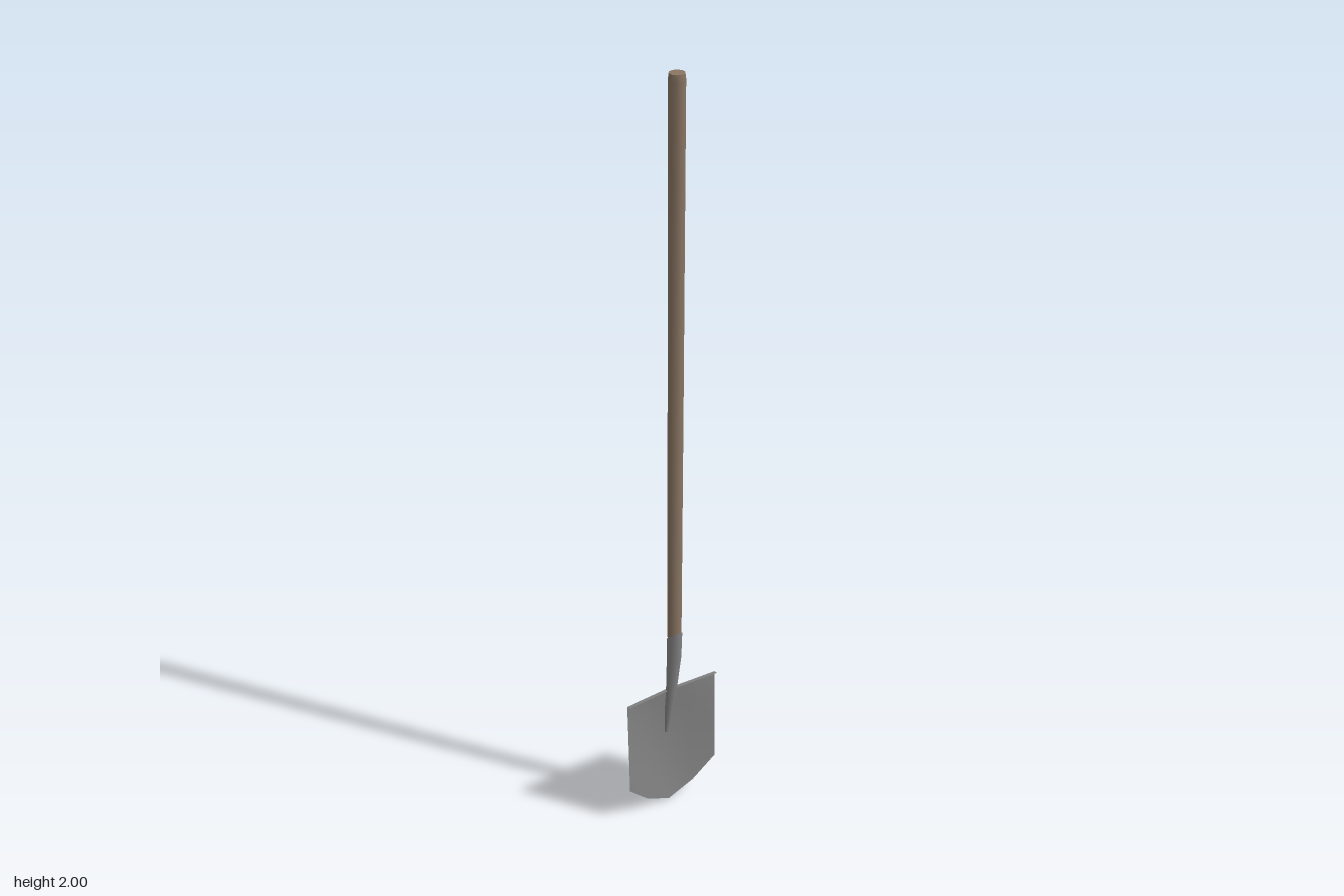
import * as THREE from 'three';

// Skin through stacked elliptical rings, listed bottom to top: [y, zCentre, radiusX, radiusZ, forwardSlant]
function loft(rings, sides, capTop) {
  const pos = [], idx = [];
  const addRing = ([y, z, rx, rz, slant = 0]) => {
    for (let i = 0; i < sides; i++) {
      const a = (i / sides) * Math.PI * 2;
      pos.push(Math.sin(a) * rx, y + Math.cos(a) * slant, z + Math.cos(a) * rz);
    }
  };
  rings.forEach(addRing);
  for (let r = 0; r < rings.length - 1; r++) {
    for (let i = 0; i < sides; i++) {
      const a = r * sides + i, b = r * sides + ((i + 1) % sides);
      idx.push(a, b, b + sides, a, b + sides, a + sides);
    }
  }
  // Separate cap vertices keep the rim sharp
  const cap = (ring, up) => {
    const start = pos.length / 3;
    addRing(ring);
    for (let i = 1; i < sides - 1; i++) {
      if (up) idx.push(start, start + i, start + i + 1);
      else idx.push(start, start + i + 1, start + i);
    }
  };
  cap(rings[0], false);
  if (capTop) cap(rings[rings.length - 1], true);
  return toGeometry(pos, idx);
}

function toGeometry(pos, idx) {
  const g = new THREE.BufferGeometry();
  g.setAttribute('position', new THREE.Float32BufferAttribute(pos, 3));
  g.setIndex(idx);
  g.computeVertexNormals();
  return g;
}

// Dished blade: mirrored columns, each with its own lower end and depth curve
function bladeGeometry() {
  const columns = [ // x, bottom y, z at top / middle / bottom
    [0, 0, -0.017, -0.034, -0.021],
    [0.07, 0.038, -0.013, -0.02, -0.013],
    [0.133, 0.1, -0.01, -0.006, -0.003],
  ];
  const all = [2, 1, 0, 1, 2].map((k, i) => [i < 2 ? -columns[k][0] : columns[k][0], ...columns[k].slice(1)]);
  const rows = 6, pos = [], idx = [];
  for (const [x, bottom, zTop, zMid, zBottom] of all) {
    for (let j = 0; j <= rows; j++) {
      const t = j / rows;
      const z = zTop * (1 - t) * (1 - 2 * t) + zMid * 4 * t * (1 - t) + zBottom * t * (2 * t - 1);
      pos.push(x, 0.372 + (bottom - 0.372) * t, z);
    }
  }
  for (let c = 0; c < all.length - 1; c++) {
    for (let j = 0; j < rows; j++) {
      const a = c * (rows + 1) + j, b = a + rows + 1;
      idx.push(a, a + 1, b + 1, a, b + 1, b);
    }
  }
  return toGeometry(pos, idx);
}

// Narrow foot tread folded forward along the blade's top edge
function treadGeometry() {
  const pos = [], idx = [];
  [[-0.133, -0.01], [-0.07, -0.013], [0, -0.017], [0.07, -0.013], [0.133, -0.01]].forEach(([x, z], i) => {
    pos.push(x, 0.372, z, x, 0.375, z + 0.013);
    const a = i * 2;
    if (i < 4) idx.push(a, a + 1, a + 3, a, a + 3, a + 2);
  });
  return toGeometry(pos, idx);
}

export function createModel() {
  const wood = new THREE.MeshStandardMaterial({ color: 0x8a7663 });
  wood.name = 'wood';
  const steel = new THREE.MeshStandardMaterial({ color: 0x858585, side: THREE.DoubleSide });
  steel.name = 'steel';

  const model = new THREE.Group();
  model.name = 'shovel';
  const add = (name, geometry, material) => {
    const mesh = new THREE.Mesh(geometry, material);
    mesh.name = name;
    model.add(mesh);
  };

  // Slightly tilted wooden shaft
  add('handle', loft([
    [0.46, 0.004, 0.015, 0.014],
    [0.56, 0.006, 0.018, 0.018],
    [1.2, 0.01, 0.019, 0.019],
    [1.985, 0.014, 0.02, 0.02],
    [2.0, 0.014, 0.018, 0.018],
  ], 10, true), wood);

  // Tapered socket with a slanted mouth, running down into the blade
  add('socket', loft([
    [0.22, -0.031, 0.005, 0.004],
    [0.3, -0.02, 0.011, 0.009],
    [0.37, -0.008, 0.015, 0.011],
    [0.48, 0.004, 0.019, 0.018],
    [0.55, 0.006, 0.02, 0.02, 0.018],
  ], 10, false), steel);

  add('blade', bladeGeometry(), steel);
  add('footTread', treadGeometry(), steel);
  return model;
}
